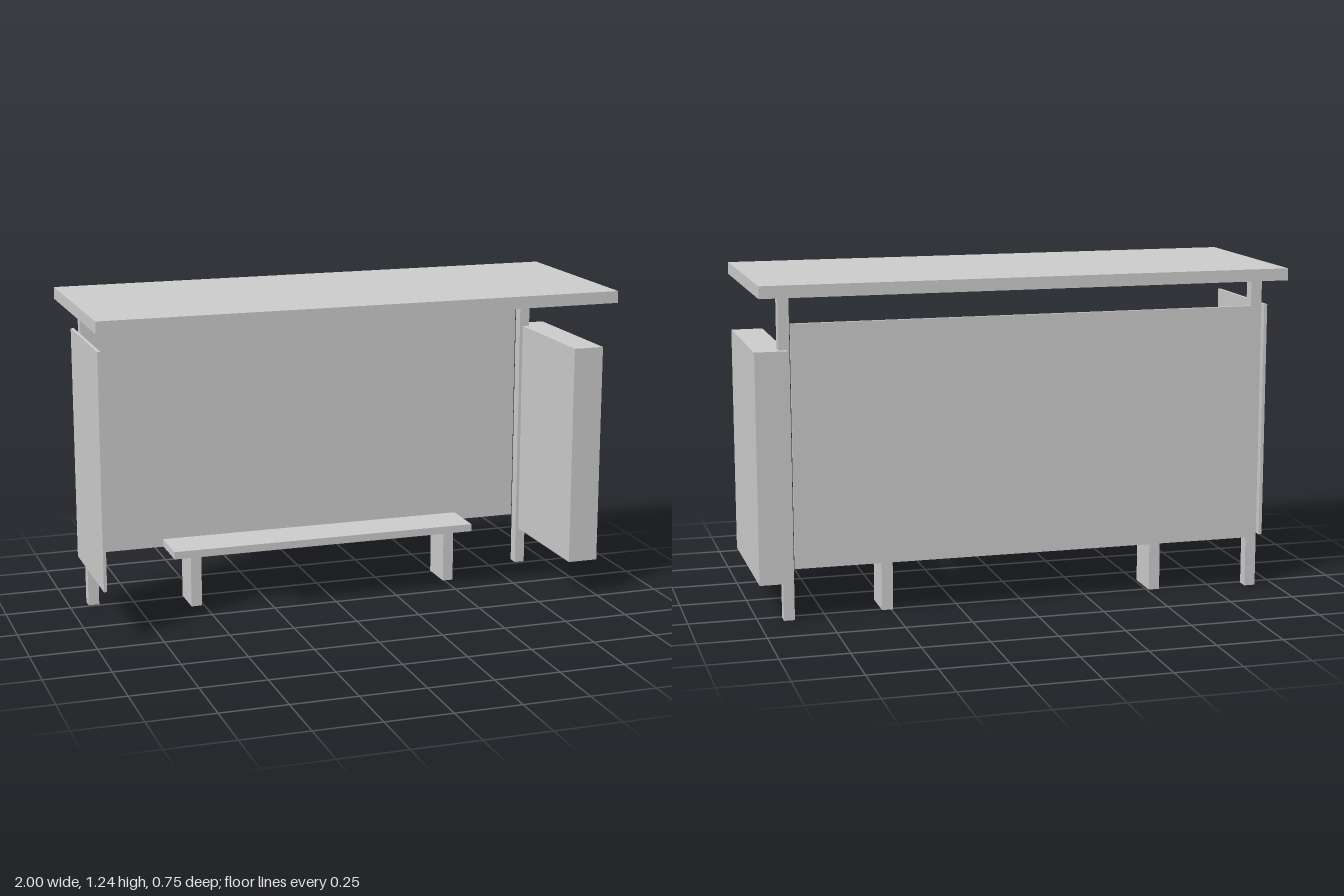
import * as THREE from 'three';

export function createModel() {
  const model = new THREE.Group();
  model.name = 'shelter';

  const grey = new THREE.MeshStandardMaterial({ color: 0xcccccc });
  grey.name = 'light grey';

  // Box given by its min and max on each axis
  function slab(name, [x0, x1], [y0, y1], [z0, z1]) {
    const mesh = new THREE.Mesh(new THREE.BoxGeometry(x1 - x0, y1 - y0, z1 - z0), grey);
    mesh.position.set((x0 + x1) / 2, (y0 + y1) / 2, (z0 + z1) / 2);
    mesh.name = name;
    model.add(mesh);
  }

  // Flat roof
  slab('roof', [-1, 0.985], [1.19, 1.235], [-0.377, 0.378]);

  // Two posts carrying the roof
  slab('rightPost', [-0.927, -0.885], [0, 1.19], [-0.304, -0.26]);
  slab('leftPost', [0.868, 0.908], [0, 1.19], [-0.304, -0.26]);

  // Thin wall panels
  slab('backPanel', [-0.882, 0.866], [0.195, 1.09], [-0.318, -0.305]);
  slab('sidePanel', [-0.958, -0.946], [0.195, 1.09], [-0.287, 0.19]);

  // Thick display case closing the left end
  slab('displayCase', [0.88, 0.998], [0.145, 0.995], [-0.33, 0.238]);

  // Bench on two legs
  slab('benchSeat', [-0.62, 0.605], [0.203, 0.232], [-0.285, -0.1]);
  for (const x of [-0.53, 0.514]) {
    slab('benchLeg', [x - 0.021, x + 0.021], [0, 0.203], [-0.262, -0.12]);
  }

  return model;
}
